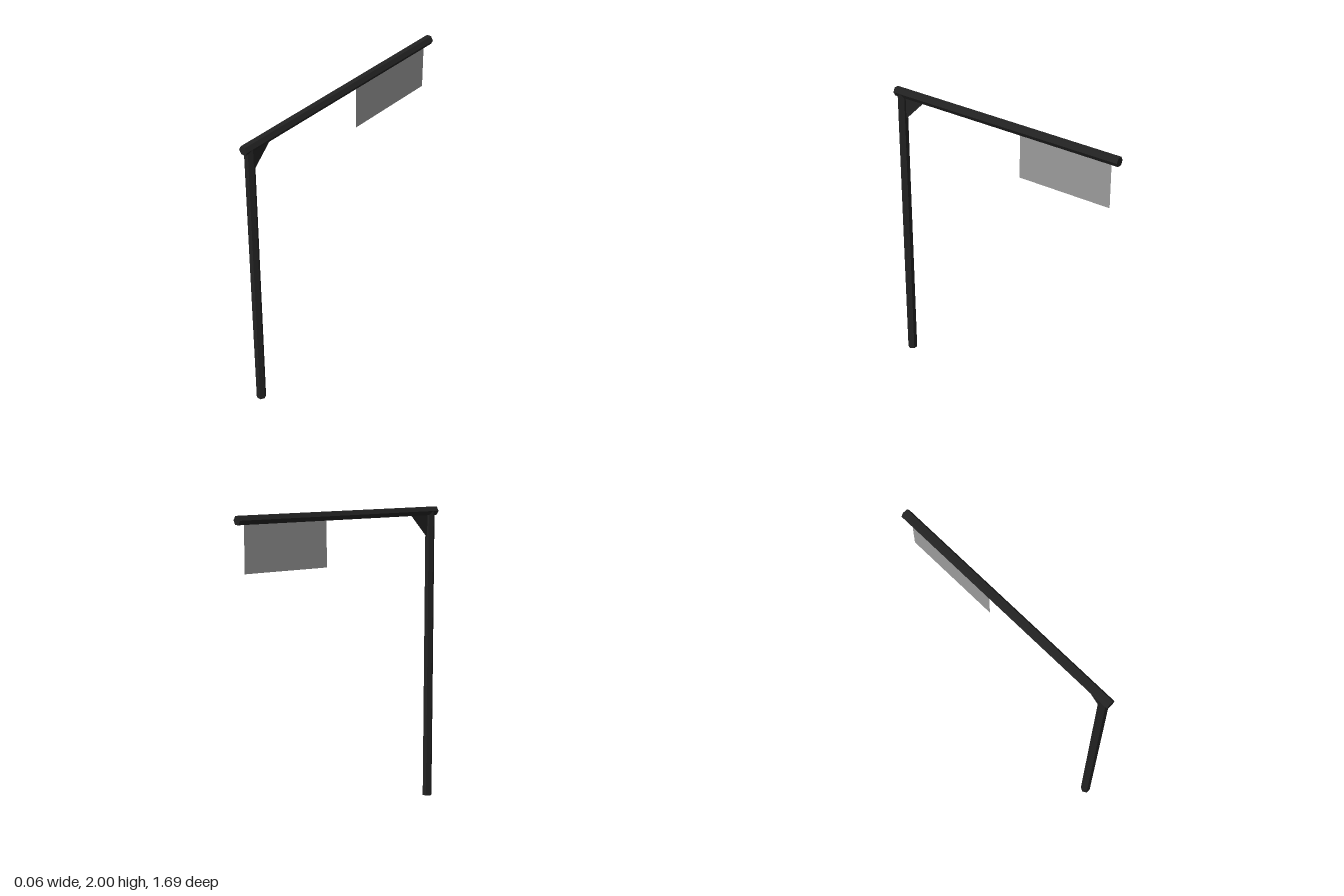
import * as THREE from 'three';

const R = 0.0317;                      // hexagon corner radius of the bars
const FLAT = R * Math.sqrt(3) / 2;     // centre to flat side
const POLE_Z = 0.798;
const BEAM_Y = 2 - FLAT;

export function createModel() {
  const group = new THREE.Group();
  const dark = new THREE.MeshStandardMaterial({ color: 0x222222, flatShading: true });
  const cloth = new THREE.MeshStandardMaterial({ color: 0x9b9b9b, side: THREE.DoubleSide });

  const add = (name, geometry, material, x, y, z) => {
    const mesh = new THREE.Mesh(geometry, material);
    mesh.name = name;
    mesh.position.set(x, y, z);
    group.add(mesh);
  };

  // six-sided bar with its corners pointing to +x and -x
  const hexBar = (length) =>
    new THREE.CylinderGeometry(R, R, length, 6, 1, false, Math.PI / 2);

  // upright pole, ending inside the beam
  add('pole', hexBar(BEAM_Y), dark, 0, BEAM_Y / 2, POLE_Z);

  // horizontal beam along z
  add('beam', hexBar(1.694).rotateX(Math.PI / 2), dark, 0, BEAM_Y, 0);

  // thin triangular gusset in the corner between pole and beam
  const leg = 0.148;
  const triangle = new THREE.Shape();
  triangle.moveTo(0, 0);
  triangle.lineTo(0, -leg);
  triangle.lineTo(leg, 0);
  triangle.closePath();
  const thickness = 0.004;
  const gusset = new THREE.ExtrudeGeometry(triangle, { depth: thickness, bevelEnabled: false });
  gusset.translate(0, 0, -thickness / 2).rotateY(Math.PI / 2);
  add('cornerBracket', gusset, dark, 0, 2 - 2 * FLAT, POLE_Z - FLAT);

  // flat banner hanging below the far end of the beam
  const top = 2 - 2 * FLAT, bottom = 1.648;
  const banner = new THREE.PlaneGeometry(0.66, top - bottom).rotateY(Math.PI / 2);
  add('banner', banner, cloth, 0, (top + bottom) / 2, -0.463);

  return group;
}
